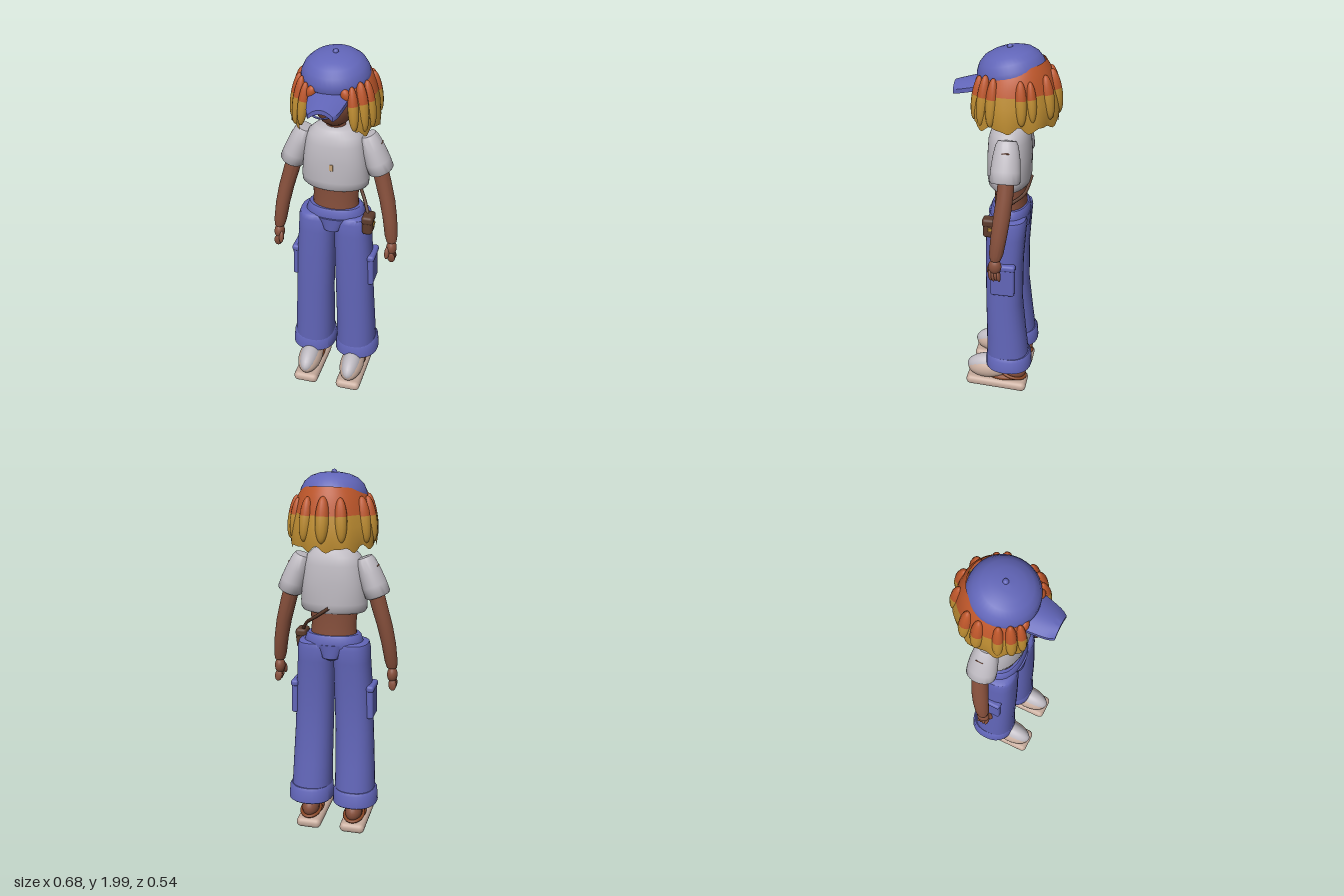
import * as THREE from 'three';
import { toCreasedNormals } from 'three/addons/utils/BufferGeometryUtils.js';
import { RoundedBoxGeometry } from 'three/addons/geometries/RoundedBoxGeometry.js';

const paint = (name, color, side = THREE.FrontSide) => {
  const m = new THREE.MeshStandardMaterial({ color, side });
  m.name = name;
  return m;
};

// Closed body from horizontal rings, bottom to top: [y, cx, cz, rx, rz, squareness]
function loft(rings, n = 28) {
  const pos = [], idx = [];
  for (const [y, cx, cz, rx, rz, p = 2] of rings) {
    for (let j = 0; j < n; j++) {
      const a = (j / n) * Math.PI * 2, c = Math.cos(a), s = Math.sin(a);
      pos.push(cx + rx * Math.sign(c) * Math.abs(c) ** (2 / p), y,
        cz + rz * Math.sign(s) * Math.abs(s) ** (2 / p));
    }
  }
  const last = rings.length - 1, base = rings.length * n;
  pos.push(rings[0][1], rings[0][0], rings[0][2], rings[last][1], rings[last][0], rings[last][2]);
  for (let j = 0; j < n; j++) {
    const k = (j + 1) % n;
    for (let i = 0; i < last; i++) {
      const A = i * n + j, B = i * n + k;
      idx.push(A, A + n, B, B, A + n, B + n);
    }
    idx.push(base, j, k, base + 1, last * n + k, last * n + j);
  }
  const g = new THREE.BufferGeometry();
  g.setAttribute('position', new THREE.Float32BufferAttribute(pos, 3));
  g.setIndex(idx);
  return toCreasedNormals(g, 0.85);
}

const lathe = (pts, n = 32, start = 0, len = Math.PI * 2) =>
  new THREE.LatheGeometry(pts.map(p => new THREE.Vector2(...p)), n, start, len);

export function createModel() {
  const model = new THREE.Group();
  const blue = paint('denim blue', 0x6165b8), orange = paint('hair orange', 0xbd562a, THREE.DoubleSide);
  const gold = paint('hair gold', 0xbe8d32, THREE.DoubleSide), skin = paint('skin brown', 0x87503c);
  const white = paint('shirt grey white', 0xbfbbc2), sole = paint('sole beige', 0xc7ac9d);
  const leather = paint('bag brown', 0x5c3b2c), rust = paint('strap rust', 0x874524), tan = paint('tan mark', 0xc9a67a);

  const add = (name, geo, mat, pos = [0, 0, 0], rot = [0, 0, 0], scale = [1, 1, 1], parent = model) => {
    const m = new THREE.Mesh(geo, mat);
    m.name = name;
    m.position.set(...pos); m.rotation.set(...rot); m.scale.set(...scale);
    parent.add(m);
    return m;
  };
  const ball = new THREE.SphereGeometry(1, 24, 16);
  const box = (w, h, d, r) => new RoundedBoxGeometry(w, h, d, 3, r);

  // Head and neck
  add('head', lathe([[0, 1.608], [0.035, 1.615], [0.068, 1.64], [0.095, 1.68], [0.114, 1.73], [0.122, 1.79],
    [0.12, 1.86], [0.09, 1.91], [0, 1.93]]), skin, [0, 0, 0.008]);
  add('nose', ball, skin, [0, 1.715, 0.125], [0, 0, 0], [0.013, 0.013, 0.014]);
  add('neck', loft([[1.56, 0, -0.015, 0.055, 0.05], [1.66, 0, -0.01, 0.045, 0.045]]), skin);

  // Cap, leaning towards the front
  const cap = new THREE.Group();
  cap.name = 'cap';
  cap.position.set(0, 1.862, -0.018);
  cap.rotation.x = 0.2;
  model.add(cap);
  add('capDome', lathe([[0, -0.005], [0.166, -0.005], [0.173, 0.004], [0.168, 0.035], [0.15, 0.07], [0.12, 0.097],
    [0.08, 0.113], [0.04, 0.12], [0, 0.122]], 40), blue, [0, 0, 0], [0, 0, 0], [1, 1, 1], cap);
  add('capButton', ball, blue, [0, 0.123, -0.015], [0, 0, 0], [0.014, 0.012, 0.014], cap);

  // Arched brim
  const brim = new THREE.BoxGeometry(1, 1, 1, 16, 1, 8), bp = brim.attributes.position;
  for (let i = 0; i < bp.count; i++) {
    const u = bp.getX(i) * 2, v = bp.getZ(i) + 0.5, w = 0.103 - 0.028 * v - 0.014 * v ** 8;
    bp.setXYZ(i, u * w, 1.83 - 0.04 * v - 0.03 * u * u + bp.getY(i) * 0.022, 0.115 + 0.153 * v);
  }
  brim.computeVertexNormals();
  add('capBrim', toCreasedNormals(brim, 0.7), blue);
  add('brimLoop', new THREE.TorusGeometry(0.045, 0.009, 8, 28), blue, [0, 1.775, 0.25], [-0.25, 0, 0], [1, 0.5, 1]);

  // Open-fronted hair shell with a ragged hem
  const hairShell = (pts) => {
    const g = lathe(pts, 64, 0.7, Math.PI * 2 - 1.4), p = g.attributes.position;
    for (let i = 0; i < p.count; i++) {
      let x = p.getX(i), y = p.getY(i), z = p.getZ(i);
      const a = Math.atan2(x, z), low = Math.max(0, (1.8 - y) / 0.17), high = Math.max(0, (y - 1.8) / 0.1);
      y += low * (0.012 * Math.sin(a * 11) + 0.008 * Math.sin(a * 17 + 1)) - high * 0.2 * z;
      const k = 1 + low * 0.025 * Math.sin(a * 9);
      p.setXYZ(i, x * k, y, z * k * (z < 0 ? 1.07 : 0.98) - 0.02);
    }
    g.computeVertexNormals();
    return g;
  };
  add('hairRoots', hairShell([[0.205, 1.795], [0.194, 1.83], [0.176, 1.87], [0.155, 1.9]]), orange);
  add('hairEnds', hairShell([[0.218, 1.63], [0.222, 1.68], [0.216, 1.74], [0.205, 1.795]]), gold);

  // Two-tone locks: [angle from the front, length, width]
  const split = 1.42, lockTop = new THREE.SphereGeometry(1, 12, 8, 0, Math.PI * 2, 0, split);
  const lockTip = new THREE.SphereGeometry(1, 12, 10, 0, Math.PI * 2, split, Math.PI - split);
  const locks = [[0.68, 0.11, 0.027], [0.95, 0.125, 0.032], [1.22, 0.12, 0.03], [1.95, 0.11, 0.029], [2.2, 0.1, 0.025],
    [2.68, 0.11, 0.032], [3.12, 0.115, 0.036], [3.55, 0.11, 0.032], [4.2, 0.115, 0.034], [4.55, 0.115, 0.034],
    [5.05, 0.12, 0.029], [5.35, 0.125, 0.03], [5.6, 0.11, 0.026]];
  for (const [phi, len, w] of locks) {
    const lock = new THREE.Group(), back = Math.max(0, -Math.cos(phi)), r = 0.2 + 0.018 * back;
    lock.name = 'hairLock';
    lock.position.set(Math.sin(phi) * r, 1.74 + 0.015 * back, Math.cos(phi) * r - 0.02);
    lock.rotation.set(-0.16, phi, 0, 'YXZ');
    model.add(lock);
    add('lockRoot', lockTop, orange, [0, 0.02, 0], [0, 0, 0], [w, len, w], lock);
    add('lockTip', lockTip, gold, [0, 0.02, 0], [0, 0, 0], [w, len, w], lock);
  }
  for (const s of [-1, 1]) {
    add('fringeLock', ball, orange, [s * 0.085, 1.825, 0.128], [0, 0, s * 0.4], [0.024, 0.034, 0.02]);
  }

  // Torso
  add('shirt', loft([[1.27, 0, -0.01, 0.165, 0.1], [1.283, 0, -0.01, 0.176, 0.11], [1.32, 0, -0.01, 0.177, 0.112, 2.3],
    [1.43, 0, -0.01, 0.166, 0.112, 2.4], [1.52, 0, -0.01, 0.153, 0.106, 2.4], [1.565, 0, -0.012, 0.14, 0.095, 2.3],
    [1.595, 0, -0.013, 0.108, 0.08], [1.605, 0, -0.013, 0.07, 0.06]], 40), white);
  add('shirtMark', box(0.02, 0.035, 0.006, 0.002), tan, [0.005, 1.41, 0.102]);
  add('waist', loft([[1.12, 0, -0.015, 0.125, 0.088], [1.2, 0, -0.015, 0.12, 0.083], [1.3, 0, -0.015, 0.13, 0.09]]), skin);

  // Trousers top
  add('waistband', loft([[1.085, 0, -0.013, 0.158, 0.103, 2.3], [1.1, 0, -0.013, 0.16, 0.105, 2.3],
    [1.14, 0, -0.014, 0.147, 0.1, 2.2], [1.15, 0, -0.014, 0.138, 0.094, 2.2]], 36), blue);
  add('crotch', loft([[1.0, 0, -0.01, 0.03, 0.06], [1.025, 0, -0.01, 0.065, 0.108, 2.4],
    [1.1, 0, -0.01, 0.1, 0.112, 2.8]]), blue);

  for (const s of [-1, 1]) {
    // Sleeve and arm
    const sleeve = lathe([[0, 0], [0.06, 0], [0.067, 0.008], [0.066, 0.06], [0.06, 0.13], [0.05, 0.19], [0.04, 0.212], [0, 0.215]]);
    add('sleeve', toCreasedNormals(sleeve, 0.8), white, [s * 0.238, 1.363, -0.025], [0, 0, s * 0.36], [1, 1, 1.15]);
    add('sleeveMark', box(0.006, 0.005, 0.04, 0.002), rust, [s * 0.236, 1.523, -0.03]);
    add('arm', loft([[0.965, s * 0.312, 0.01, 0.027, 0.028], [1.0, s * 0.308, 0.006, 0.034, 0.037],
      [1.1, s * 0.295, -0.006, 0.038, 0.042], [1.2, s * 0.275, -0.018, 0.041, 0.044],
      [1.3, s * 0.248, -0.028, 0.043, 0.042], [1.41, s * 0.218, -0.032, 0.044, 0.042]]), skin);
    // Loosely closed hand
    add('palm', ball, skin, [s * 0.314, 0.925, 0.013], [0, 0, 0], [0.028, 0.043, 0.034]);
    for (let i = 0; i < 4; i++) {
      add('finger', ball, skin, [s * 0.318, 0.872 + (i % 2) * 0.004, -0.006 + i * 0.014], [0.15, 0, s * 0.1], [0.021, 0.032, 0.011]);
    }
    add('thumb', ball, skin, [s * 0.295, 0.905, 0.043], [-0.3, 0, 0], [0.013, 0.034, 0.013]);

    // Leg, cuff and side pocket
    add('trouserLeg', loft([[0.22, s * 0.124, -0.022, 0.112, 0.119, 2.3], [0.4, s * 0.12, -0.012, 0.108, 0.108, 2.3],
      [0.6, s * 0.114, 0, 0.104, 0.099, 2.4], [0.85, s * 0.105, 0, 0.102, 0.1, 2.5],
      [1.0, s * 0.099, -0.006, 0.098, 0.104, 2.6], [1.075, s * 0.098, -0.01, 0.096, 0.106, 2.6],
      [1.1, s * 0.102, -0.011, 0.085, 0.1, 2.5], [1.108, s * 0.105, -0.011, 0.065, 0.085, 2.3]]), blue);
    add('cuff', loft([[0.175, s * 0.126, -0.027, 0.116, 0.12, 2.3], [0.182, s * 0.127, -0.027, 0.124, 0.128, 2.3],
      [0.25, s * 0.126, -0.026, 0.12, 0.125, 2.3], [0.266, s * 0.125, -0.026, 0.11, 0.116, 2.3]]), blue);
    add('pocket', box(0.036, 0.18, 0.128, 0.012), blue, [s * 0.208, 0.775, -0.006], [0, 0, s * 0.02]);
    add('pocketFlap', box(0.042, 0.036, 0.138, 0.014), blue, [s * 0.209, 0.856, -0.006]);

    // Shoe with a bare heel
    const x = s * 0.125;
    add('sole', box(0.14, 0.056, 0.346, 0.026), sole, [x, 0.046, 0.043], [-0.052, 0, 0]);
    add('shoeSide', ball, sole, [x, 0.128, 0.088], [0.1, 0, 0], [0.068, 0.066, 0.126]);
    add('shoeTop', ball, white, [x, 0.14, 0.09], [0.1, 0, 0], [0.056, 0.07, 0.127]);
    add('heel', ball, skin, [x, 0.12, -0.06], [0, 0, 0], [0.047, 0.056, 0.065]);
    add('ankle', loft([[0.1, x, -0.045, 0.045, 0.055], [0.24, x, -0.03, 0.045, 0.05]]), skin);
    add('heelStrap', new THREE.TorusGeometry(0.056, 0.009, 8, 24), rust, [x, 0.1, -0.05], [Math.PI / 2 - 0.25, 0, 0], [0.95, 1.25, 1]);
    add('instep', ball, rust, [x, 0.085, 0.0], [0, 0, 0], [0.058, 0.025, 0.11]);
  }

  // Hip bag and strap
  add('bag', box(0.055, 0.108, 0.082, 0.018), leather, [0.194, 1.086, 0.055]);
  add('bagFlap', box(0.062, 0.046, 0.09, 0.016), leather, [0.194, 1.118, 0.055]);
  add('bagClasp', box(0.009, 0.018, 0.03, 0.003), gold, [0.223, 1.085, 0.052]);
  const strapPath = new THREE.CatmullRomCurve3([[0.19, 1.13, 0.045], [0.145, 1.195, -0.03], [0.09, 1.24, -0.1],
    [0, 1.305, -0.125]].map(p => new THREE.Vector3(...p)));
  add('bagStrap', new THREE.TubeGeometry(strapPath, 24, 0.009, 8), leather);

  return model;
}
